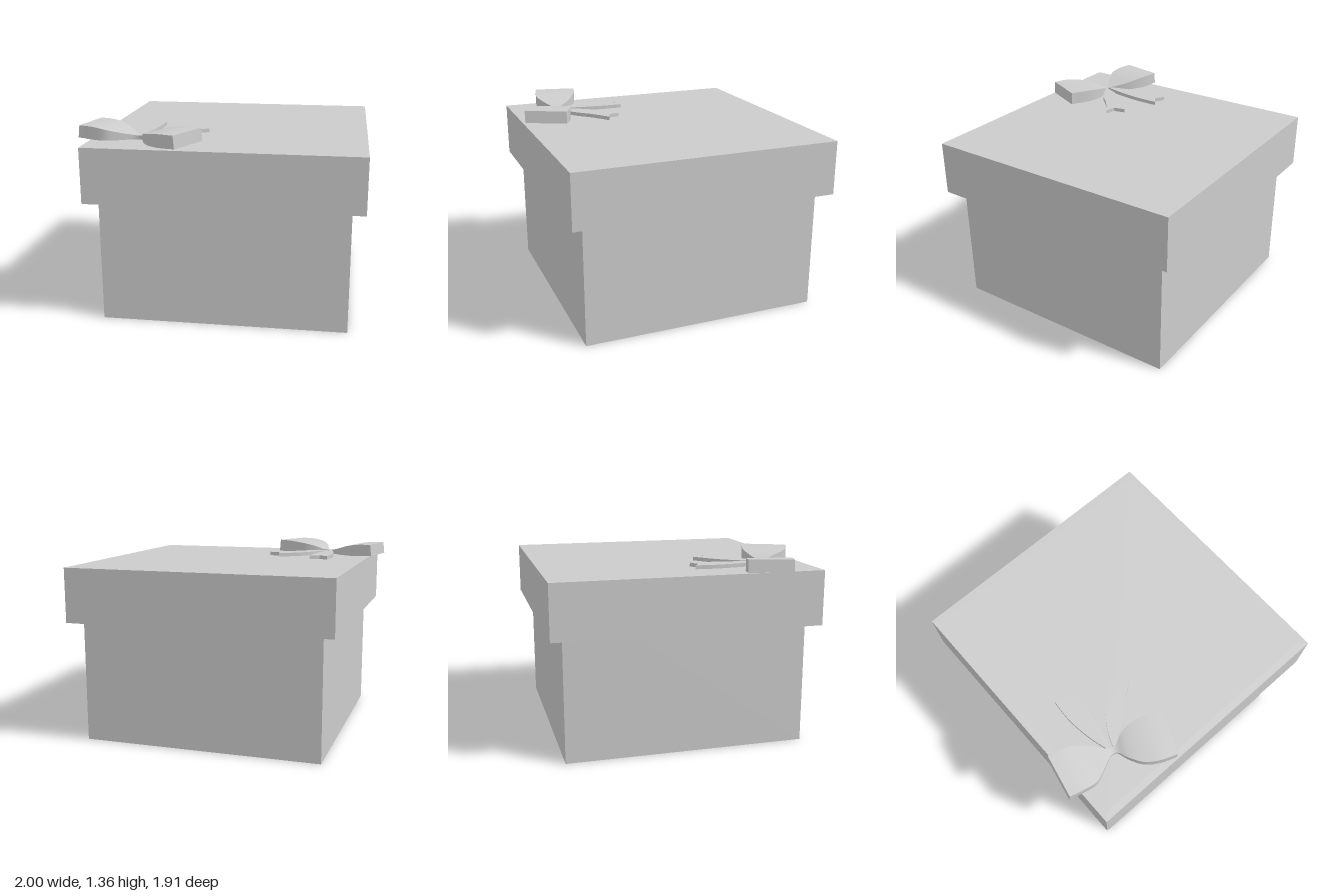
import * as THREE from 'three';
import { mergeGeometries, toCreasedNormals } from 'three/addons/utils/BufferGeometryUtils.js';

const LID_TOP = 1.265, CENTRE_X = 0.045;
const material = new THREE.MeshStandardMaterial({ color: 0xcccccc });

function addMesh(parent, name, geometry) {
  const mesh = new THREE.Mesh(geometry, material);
  mesh.name = name;
  parent.add(mesh);
  return mesh;
}

// Square-walled open tray: four walls from y0 to y1, plus a panel at the given level
function tray(size, wall, y0, y1, panelY) {
  const h = size / 2, k = h - wall;
  const rect = (r) => [[-r, -r], [r, -r], [r, r], [-r, r]].map(([x, y]) => new THREE.Vector2(x, y));
  const shape = new THREE.Shape(rect(h));
  shape.holes.push(new THREE.Path(rect(k).reverse()));
  const walls = new THREE.ExtrudeGeometry(shape, { depth: y1 - y0, bevelEnabled: false });
  walls.rotateX(-Math.PI / 2).translate(0, y0, 0);
  const panel = new THREE.BoxGeometry(k * 2, wall, k * 2).toNonIndexed();
  panel.translate(0, panelY, 0);
  return mergeGeometries([walls, panel]).translate(CENTRE_X, 0, 0);
}

// Flat ribbon tail: curved sides [x, z] and a notched tip
function tail(left, notch, right) {
  const v = ([x, z]) => new THREE.Vector2(x, -z);
  const shape = new THREE.Shape();
  shape.moveTo(...v(left[0]).toArray());
  shape.splineThru(left.slice(1).map(v));
  shape.lineTo(...v(notch).toArray());
  shape.lineTo(...v(right[0]).toArray());
  shape.splineThru(right.slice(1).map(v));
  const g = new THREE.ExtrudeGeometry(shape, { depth: 0.027, bevelEnabled: false, curveSegments: 8 });
  g.rotateX(-Math.PI / 2).translate(0, LID_TOP, 0);
  return toCreasedNormals(g, 0.5);
}

// Both bow loops, lofted from end to end: back x, back z, front x, front z, bottom y, top y
function bowLoops() {
  const stations = [
    [-0.925, 0.38, -0.99, 0.685, 1.275, 1.362],
    [-0.82, 0.405, -0.885, 0.712, 1.268, 1.358],
    [-0.73, 0.45, -0.79, 0.725, 1.267, 1.342],
    [-0.66, 0.51, -0.70, 0.69, 1.266, 1.318],
    [-0.58, 0.595, -0.60, 0.645, 1.266, 1.295],
    [-0.535, 0.61, -0.555, 0.655, 1.266, 1.295],
    [-0.45, 0.578, -0.525, 0.735, 1.266, 1.325],
    [-0.36, 0.57, -0.47, 0.83, 1.267, 1.346],
    [-0.25, 0.597, -0.385, 0.895, 1.268, 1.36],
    [-0.135, 0.657, -0.27, 0.942, 1.272, 1.363],
  ];
  const curve = (f) => new THREE.CatmullRomCurve3(stations.map((s) => new THREE.Vector3(...f(s))));
  const back = curve((s) => [s[0], s[5], s[1]]);
  const front = curve((s) => [s[2], s[5], s[3]]);
  const base = curve((s) => [s[0], s[4], s[1]]);
  const n = (stations.length - 1) * 4, pos = [], index = [];
  for (let i = 0; i <= n; i++) {
    const t = i / n, b = back.getPoint(t), f = front.getPoint(t), y = base.getPoint(t).y;
    // the open ends lean out slightly at the bottom
    const lean = i === 0 ? -0.01 : i === n ? 0.007 : 0;
    pos.push(f.x + lean, y, f.z, f.x, f.y, f.z, b.x, b.y, b.z, b.x + lean, y, b.z);
    if (i === n) break;
    for (let j = 0; j < 4; j++) {
      const a = i * 4 + j, c = i * 4 + (j + 1) % 4;
      index.push(a, a + 4, c + 4, a, c + 4, c);
    }
  }
  const e = n * 4;
  index.push(0, 1, 2, 0, 2, 3, e, e + 2, e + 1, e, e + 3, e + 2);
  const g = new THREE.BufferGeometry();
  g.setAttribute('position', new THREE.Float32BufferAttribute(pos, 3));
  g.setIndex(index);
  return toCreasedNormals(g, 0.5);
}

export function createModel() {
  const model = new THREE.Group();
  model.name = 'giftBox';

  addMesh(model, 'boxBody', tray(1.73, 0.05, 0, 1.2, 0.025));
  addMesh(model, 'lid', tray(1.91, 0.05, 0.875, LID_TOP, LID_TOP - 0.025));

  const bow = new THREE.Group();
  bow.name = 'bow';
  model.add(bow);
  addMesh(bow, 'bowLoops', bowLoops());
  addMesh(bow, 'backTail', tail(
    [[-0.585, 0.6], [-0.625, 0.45], [-0.648, 0.27], [-0.64, 0.105]], [-0.575, 0.145],
    [[-0.505, 0.105], [-0.507, 0.27], [-0.53, 0.45], [-0.568, 0.605]]));
  addMesh(bow, 'sideTail', tail(
    [[-0.55, 0.61], [-0.495, 0.49], [-0.39, 0.345], [-0.235, 0.217]], [-0.215, 0.3],
    [[-0.138, 0.32], [-0.27, 0.42], [-0.385, 0.53], [-0.535, 0.615]]));
  return model;
}
